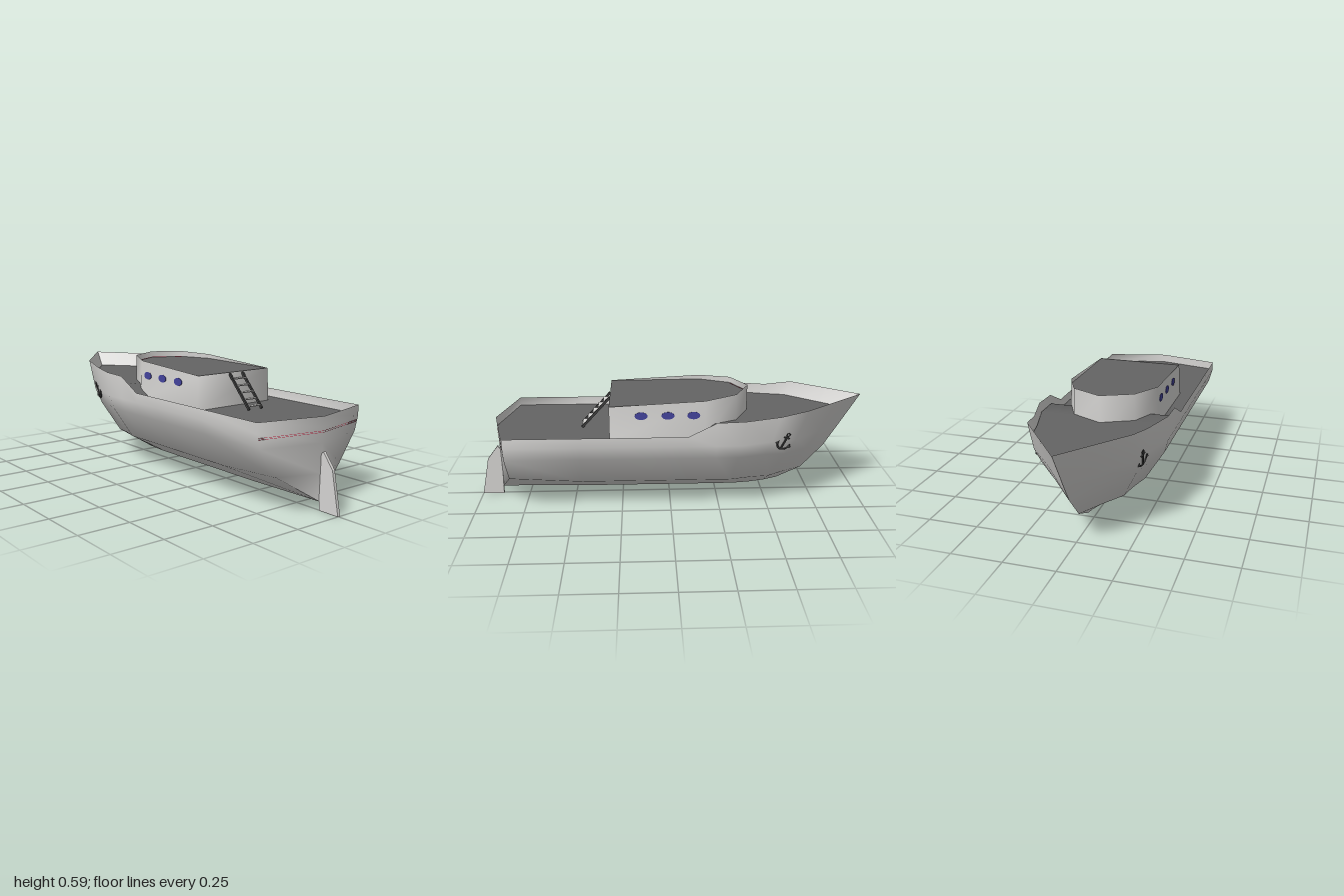
import * as THREE from 'three';

const mat = (name, color, side = THREE.FrontSide) => {
  const m = new THREE.MeshStandardMaterial({ color, side });
  m.name = name;
  return m;
};

// Smooth surface through rows of [x, y, z] points, optionally closed into a ring
function grid(rows, closed = false) {
  const n = rows[0].length, index = [];
  for (let i = 0; i < rows.length - (closed ? 0 : 1); i++) {
    for (let k = 0; k < n - 1; k++) {
      const a = i * n + k, b = ((i + 1) % rows.length) * n + k;
      index.push(a, b, a + 1, b, b + 1, a + 1);
    }
  }
  const g = new THREE.BufferGeometry();
  g.setAttribute('position', new THREE.Float32BufferAttribute(rows.flat(2), 3));
  g.setIndex(index);
  g.computeVertexNormals();
  return g;
}

// Hull stations from stern to bow: z, half width, rail height, deck height
const STATIONS = [
  [0.82, 0.322, 0.43, 0.387], [0.45, 0.322, 0.43, 0.387], [0.1, 0.322, 0.43, 0.387],
  [-0.08, 0.322, 0.43, 0.387], [-0.22, 0.322, 0.5, 0.455], [-0.36, 0.322, 0.505, 0.455],
  [-0.54, 0.272, 0.508, 0.455], [-0.68, 0.245, 0.53, 0.455], [-0.85, 0.115, 0.532, 0.455],
  [-1, 0, 0.533, 0.455],
];
// Hull levels from rail to keel: width factor, height, stern height, stem z, stem height
const LEVELS = [
  [1, 0.43, 0.43, -1, 0.533], [1, 0.38, 0.38, -0.9, 0.37], [0.94, 0.31, 0.31, -0.825, 0.25],
  [0.63, 0.148, 0.17, -0.71, 0.125], [0, 0.033, 0.04, -0.58, 0.065],
];

function hullPoint(i, k, s) {
  const [z, w, rail] = STATIONS[i];
  const [f, y, sternY, stemZ, stemY] = LEVELS[k];
  const t = Math.max(0, (-0.22 - z) / 0.78);
  let pz = t > 0 ? -0.22 + t * (stemZ + 0.22) : z;
  if (i === 0 && k === 4) pz = 0.89;
  const py = k === 0 ? rail : i === 0 ? sternY : y + (stemY - y) * t ** 3;
  return [s * w * f, py, pz];
}

// Point where the deck meets the hull side, just inside it
function deckPoint(i, s) {
  const a = hullPoint(i, 0, s), b = hullPoint(i, 1, s);
  const t = (a[1] - STATIONS[i][3]) / (a[1] - b[1]);
  const p = a.map((v, j) => v + (b[j] - v) * t);
  p[0] *= 0.988;
  if (p[2] < -0.3) p[2] += 0.005;
  return p;
}

export function createModel() {
  const light = mat('pale grey', 0xd6d5d3, THREE.DoubleSide);
  const deckGrey = mat('deck grey', 0x646464, THREE.DoubleSide);
  const dark = mat('dark iron', 0x3c3c3c);
  const blue = mat('window blue', 0x42429a);
  const red = mat('stripe red', 0xd02848, THREE.DoubleSide);

  const model = new THREE.Group();
  model.name = 'boat';
  const add = (name, geometry, material, parent = model) => {
    const m = new THREE.Mesh(geometry, material);
    m.name = name;
    parent.add(m);
    return m;
  };

  // Hull: one smooth skin from the bow, round the pointed stern and back
  const sideRows = s => STATIONS.map((_, i) => LEVELS.map((_, k) => hullPoint(i, k, s)));
  const sternRow = LEVELS.map((l, k) => [0, l[2], 0.9 - 0.0025 * k]);
  add('hull', grid([...sideRows(1).reverse(), sternRow, ...sideRows(-1)]), light);

  // Hairline stripes across the stern
  for (const y of [0.356, 0.363]) {
    const line = h => [[-0.313, h - 0.002, 0.8215], [0, h + 0.002, 0.9], [0.313, h - 0.002, 0.8215]];
    add('sternStripe', grid([line(y + 0.0008), line(y - 0.0008)]), red);
  }

  // Sunken deck, stepping up at the bow
  const deckRows = STATIONS.map((_, i) => {
    const l = deckPoint(i, -1), r = deckPoint(i, 1);
    return [l, [0, l[1], i === 0 ? 0.894 : l[2]], r];
  });
  add('deck', grid(deckRows.reverse()), deckGrey);

  // Rudder
  const rudderShape = new THREE.Shape(
    [[-0.89, 0], [-0.885, 0.25], [-0.905, 0.272], [-0.96, 0.2], [-1, 0]].map(p => new THREE.Vector2(...p)));
  const rudder = add('rudder', new THREE.ExtrudeGeometry(rudderShape, { depth: 0.015, bevelEnabled: false }), light);
  rudder.rotation.y = Math.PI / 2;
  rudder.position.x = -0.004;

  // Cabin walls, with a parapet rising towards the bow
  const plan = [[0.23, 0.305], [0.23, -0.17], [0.155, -0.33], [0, -0.405], [-0.155, -0.33], [-0.23, -0.17], [-0.23, 0.305]];
  const parapetY = z => Math.min(0.59, 0.555 + (0.305 - z) * 0.052);
  add('cabinWall', grid(plan.map(([x, z]) => [[x * 0.975, parapetY(z), z], [x * 1.012, 0.38, z]]), true), light);

  // Cabin roof
  const roofY = z => 0.553 + (0.305 - z) * 0.007;
  const roofRows = [0, 1, 2, 3].map(i => [-1, 1].map(s => {
    const [x, z] = plan[i];
    return [s * x * 0.974, roofY(z), z];
  }));
  add('cabinRoof', grid(roofRows.reverse()), deckGrey);

  // Hairline trim where the roof meets the front parapet
  const trim = plan.slice(2, 5).map(([x, z]) => [0, 0.0018].map(h => [x * 0.96, roofY(z) + h, z + 0.006]));
  add('roofTrim', grid(trim), red);

  // Oval cabin windows
  for (const s of [1, -1]) {
    for (const z of [0.147, 0.015, -0.112]) {
      const w = add('cabinWindow', new THREE.CylinderGeometry(1, 1, 0.005, 20), blue);
      w.scale.set(0.019, 1, 0.032);
      w.rotation.z = s * (Math.PI / 2 + 0.047);
      w.position.set(s * 0.2268, 0.507, z);
    }
  }

  // Ladder to the roof: sloping rails with flat treads
  const ladder = new THREE.Group();
  ladder.name = 'ladder';
  ladder.position.x = 0.011;
  model.add(ladder);
  for (const x of [-0.041, 0.041]) {
    const rail = add('ladderRail', new THREE.BoxGeometry(0.009, 0.214, 0.012), dark, ladder);
    rail.position.set(x, 0.469, 0.378);
    rail.rotation.x = -Math.atan2(0.145, 0.158);
  }
  for (let i = 0; i < 5; i++) {
    const y = 0.525 - i * 0.03;
    add('ladderTread', new THREE.BoxGeometry(0.076, 0.005, 0.023), light, ladder)
      .position.set(0, y, 0.307 + (0.548 - y) * 0.918);
  }

  // Anchor on each bow
  for (const s of [1, -1]) {
    const side = new THREE.Group();
    side.name = s > 0 ? 'anchorLeft' : 'anchorRight';
    side.scale.x = s;
    model.add(side);
    const anchor = new THREE.Group();
    anchor.name = 'anchor';
    anchor.position.set(0.2585, 0.37, -0.562);
    anchor.rotation.set(0.2, Math.PI / 2 + 0.21, -0.4, 'YXZ');
    anchor.scale.set(0.92, 0.95, 0.6);
    side.add(anchor);
    add('anchorShank', new THREE.BoxGeometry(0.009, 0.08, 0.01), dark, anchor);
    add('anchorStock', new THREE.BoxGeometry(0.034, 0.007, 0.01), dark, anchor).position.y = 0.028;
    add('anchorRing', new THREE.TorusGeometry(0.009, 0.003, 6, 14), dark, anchor).position.y = 0.047;
    const arms = add('anchorArms', new THREE.TorusGeometry(0.038, 0.005, 6, 16, Math.PI * 0.84), dark, anchor);
    arms.rotation.z = Math.PI * 1.08;
    arms.position.y = -0.003;
    for (const x of [-1, 1]) {
      const fluke = add('anchorFluke', new THREE.ConeGeometry(0.011, 0.022, 4), dark, anchor);
      fluke.position.set(x * 0.037, -0.008, 0);
      fluke.rotation.z = x * 0.25;
    }
  }
  return model;
}
